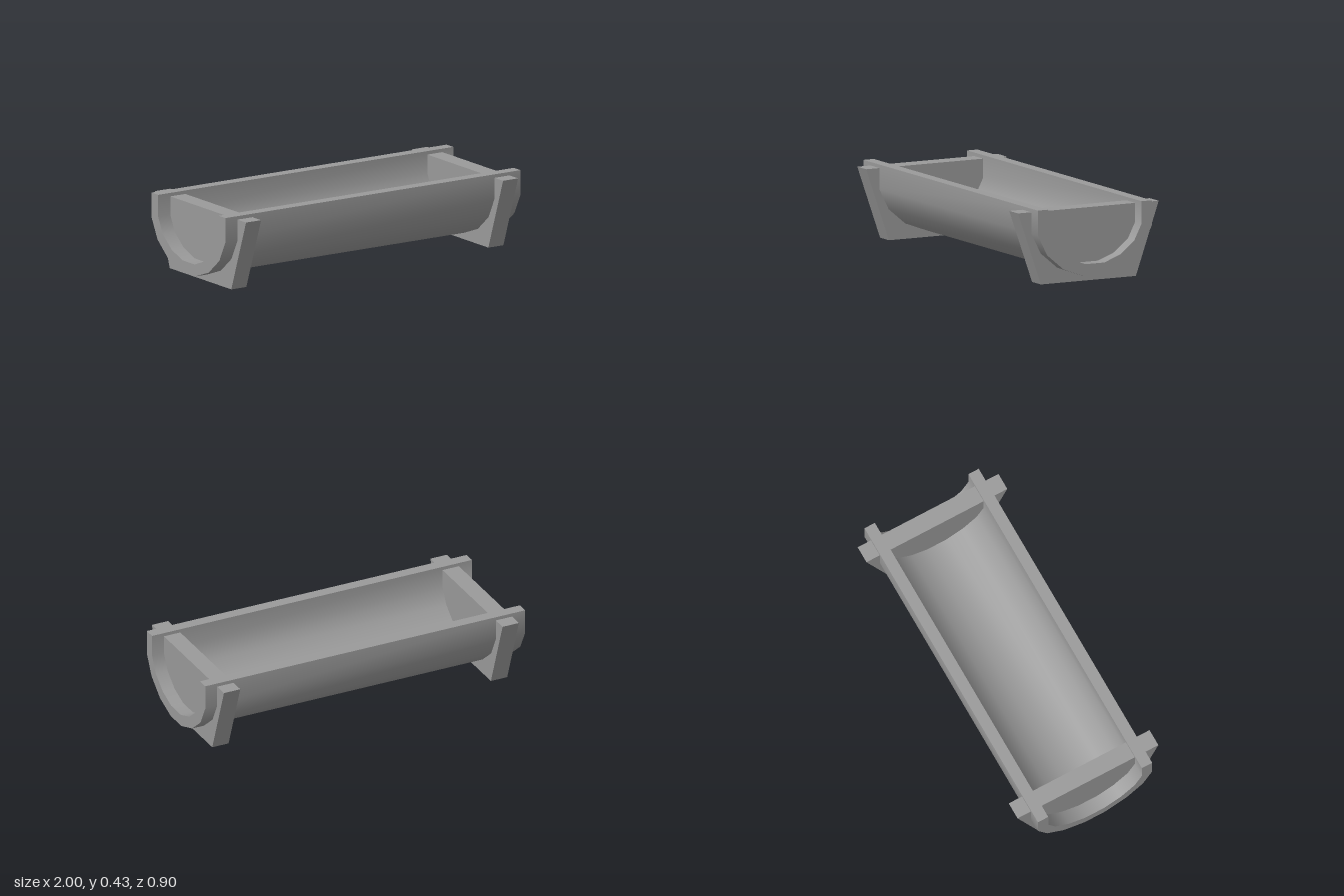
import * as THREE from 'three';
import { toCreasedNormals } from 'three/addons/utils/BufferGeometryUtils.js';

const material = new THREE.MeshStandardMaterial({ color: 0x9a9a9a });

// Extrude a cross-section (points of z, y) along x, centred on x = 0.
function extrudeAlongX(points, length) {
  const shape = new THREE.Shape(points.map(([z, y]) => new THREE.Vector2(-z, y)));
  const geometry = new THREE.ExtrudeGeometry(shape, { depth: length, bevelEnabled: false });
  geometry.translate(0, 0, -length / 2);
  geometry.rotateY(Math.PI / 2);
  return toCreasedNormals(geometry, 0.7);
}

// Mirror half a profile, running from the +z rim down and up to the -z rim.
const mirrored = (half) => [...half, ...half.map(([z, y]) => [-z, y]).reverse()];

export function createModel() {
  const group = new THREE.Group();

  // Trough: U-shaped wall, open at the top and at both ends
  const outer = mirrored([[0.365, 0.434], [0.365, 0.293], [0.306, 0.176], [0.2, 0.087], [0.066, 0.038]]);
  const inner = mirrored([[0.299, 0.434], [0.299, 0.307], [0.253, 0.217], [0.165, 0.145], [0.061, 0.106]]);
  const trough = new THREE.Mesh(extrudeAlongX([...outer, ...inner.reverse()], 2), material);
  trough.name = 'trough';
  group.add(trough);

  // End boards: solid trapezoids that close the trough and act as feet
  const board = extrudeAlongX([[0.45, 0.414], [0.304, 0], [-0.304, 0], [-0.45, 0.414]], 0.102);
  for (const [name, x] of [['leftEndBoard', 0.875], ['rightEndBoard', -0.867]]) {
    const mesh = new THREE.Mesh(board, material);
    mesh.name = name;
    mesh.position.x = x;
    group.add(mesh);
  }

  return group;
}
